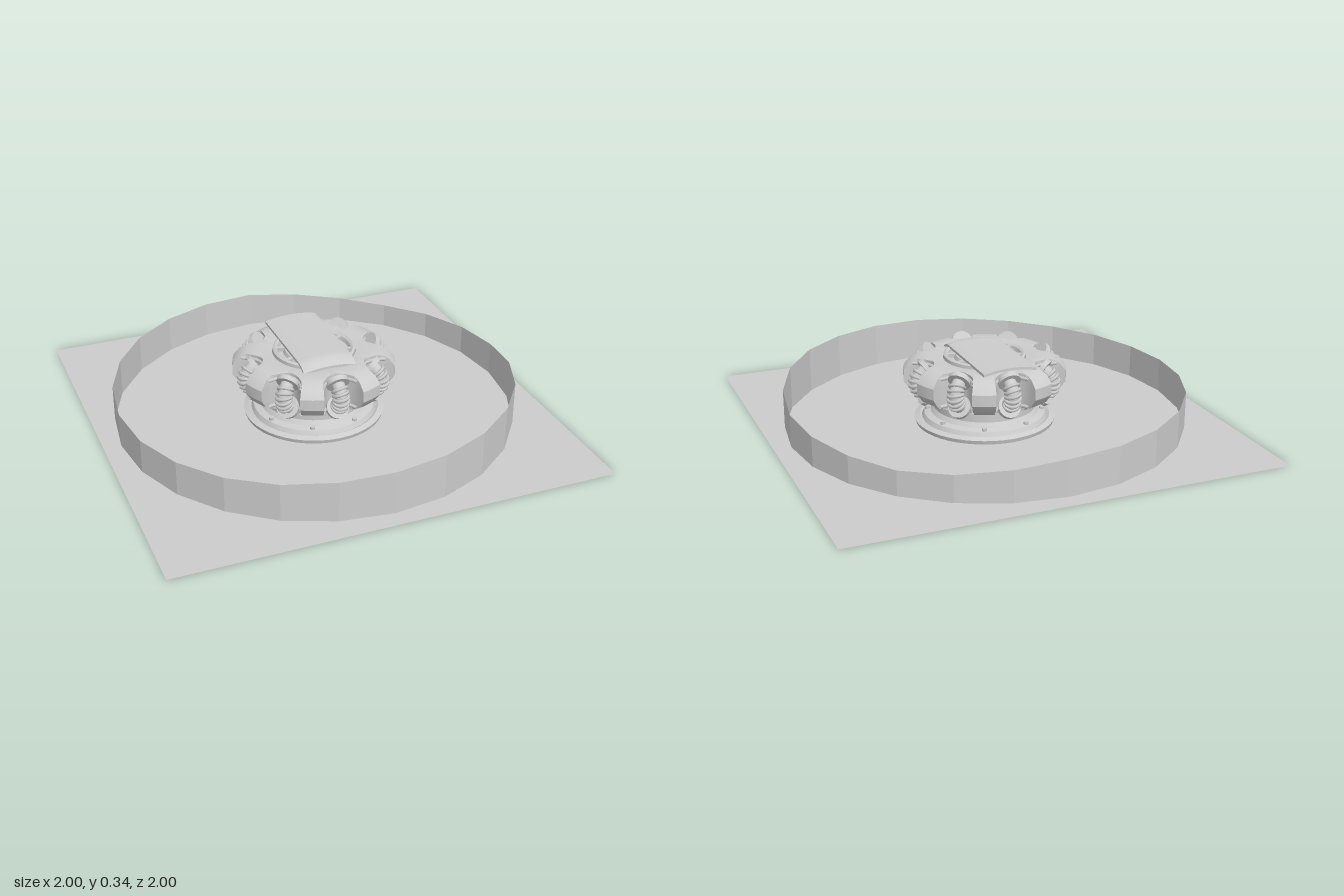
import * as THREE from 'three';
import { toCreasedNormals } from 'three/addons/utils/BufferGeometryUtils.js';

const grey = new THREE.MeshStandardMaterial({ color: 0xcccccc, side: THREE.DoubleSide });
grey.name = 'grey';

const BAYS = 8;
const PITCH = (Math.PI * 2) / BAYS;
const BAY_HALF = 0.25; // half angle of one bay
const bayRadius = (phi) => 0.35 - 0.1 * Math.sqrt(Math.max(0, 1 - (phi / BAY_HALF) ** 2));

function part(parent, name, geometry) {
  const mesh = new THREE.Mesh(geometry, grey);
  mesh.name = name;
  parent.add(mesh);
  return mesh;
}

function lathe(points, segments = 48) {
  const geo = new THREE.LatheGeometry(points.map(([r, y]) => new THREE.Vector2(r, y)), segments);
  return toCreasedNormals(geo, 0.6);
}

// Open faceted wall with an undulating top edge
function wallGeometry() {
  const heights = [0.155, 0.18, 0.2, 0.21, 0.21, 0.207, 0.2, 0.188, 0.175, 0.165, 0.16, 0.157,
    0.16, 0.166, 0.171, 0.174, 0.174, 0.172, 0.168, 0.145, 0.124, 0.115, 0.127, 0.14];
  const geo = new THREE.CylinderGeometry(0.92, 0.92, 1, 24, 1, true);
  const p = geo.attributes.position;
  for (let i = 0; i < p.count; i++) {
    const step = Math.round(Math.atan2(p.getZ(i), p.getX(i)) / (Math.PI / 12));
    p.setY(i, p.getY(i) > 0 ? heights[(step + 24) % 24] : 0);
  }
  return toCreasedNormals(geo, 0.1);
}

// Chamfered ring whose outside is cut by eight rounded bays
function housingGeometry() {
  const profile = [[0.19, 0.303], [0.25, 0.31], [0.305, 0.307], [0.345, 0.288], [0.373, 0.252],
    [0.373, 0.2], [0.345, 0.16], [0.3, 0.133], [0.2, 0.13], [0.19, 0.303]];
  const columns = [];
  for (let b = 0; b < BAYS; b++) {
    for (let i = 0; i <= 16; i++) {
      const phi = -BAY_HALF * Math.cos((Math.PI * i) / 16);
      columns.push([b * PITCH + phi, bayRadius(phi)]);
    }
    for (let i = 0; i <= 4; i++) {
      columns.push([b * PITCH + BAY_HALF + (i / 4) * (PITCH - 2 * BAY_HALF), 1]);
    }
  }
  columns.push(columns[0]);
  const positions = [];
  const index = [];
  const m = profile.length;
  columns.forEach(([angle, limit], i) => {
    profile.forEach(([r0, y], j) => {
      const r = Math.min(r0, limit);
      positions.push(r * Math.cos(angle), y, r * Math.sin(angle));
      if (i < columns.length - 1 && j < m - 1) {
        const a = i * m + j;
        const b = a + m;
        index.push(a, b, a + 1, b, b + 1, a + 1);
      }
    });
  });
  const geo = new THREE.BufferGeometry();
  geo.setAttribute('position', new THREE.Float32BufferAttribute(positions, 3));
  geo.setIndex(index);
  return toCreasedNormals(geo, 0.6);
}

// Bowed spring strut with end caps and bay lips, built along +x
function strut() {
  const group = new THREE.Group();
  group.name = 'springStrut';
  const bow = new THREE.QuadraticBezierCurve3(
    new THREE.Vector3(0.275, 0.285, 0), new THREE.Vector3(0.385, 0.22, 0), new THREE.Vector3(0.275, 0.15, 0));
  part(group, 'springCore', new THREE.TubeGeometry(bow, 16, 0.03, 12));
  const place = (mesh, t, tilt = 0) => {
    mesh.position.copy(bow.getPoint(t));
    mesh.quaternion.setFromUnitVectors(new THREE.Vector3(0, 0, 1), bow.getTangent(t));
    mesh.rotateX(tilt);
  };
  for (let i = 0; i < 6; i++) {
    place(part(group, 'coil', new THREE.TorusGeometry(0.033, 0.008, 6, 20)), 0.2 + i * 0.12, 0.2);
  }
  for (const t of [0.04, 0.96]) {
    const cap = new THREE.CylinderGeometry(0.052, 0.052, 0.022, 20).rotateX(Math.PI / 2);
    place(part(group, 'springCap', cap), t);
  }
  for (const y of [0.285, 0.155]) {
    const rim = [];
    for (let i = 0; i <= 12; i++) {
      const phi = -BAY_HALF * 0.98 * Math.cos((Math.PI * i) / 12);
      const r = bayRadius(phi);
      rim.push(new THREE.Vector3(r * Math.cos(phi), y, r * Math.sin(phi)));
    }
    part(group, 'bayLip', new THREE.TubeGeometry(new THREE.CatmullRomCurve3(rim), 24, 0.009, 6));
  }
  return group;
}

// Thin arched plate, rolled down at its front end
function coverGeometry() {
  const geo = new THREE.BoxGeometry(0.25, 0.012, 0.5, 12, 1, 30);
  const p = geo.attributes.position;
  for (let i = 0; i < p.count; i++) {
    const x = p.getX(i);
    const z = p.getZ(i) - 0.05;
    const roll = Math.max(0, (z - 0.13) / 0.07);
    p.setXYZ(i, x, p.getY(i) + 0.339 - 0.015 * (Math.abs(x) / 0.125) ** 2.2 - 0.024 * roll * roll, z);
  }
  return toCreasedNormals(geo, 0.6);
}

export function createModel() {
  const model = new THREE.Group();
  model.name = 'model';

  part(model, 'ground', new THREE.PlaneGeometry(2, 2).rotateX(-Math.PI / 2));
  part(model, 'wall', wallGeometry());

  // Stepped foot and neck
  part(model, 'foot', lathe([[0.32, 0], [0.325, 0.018], [0.3, 0.028], [0.29, 0.022], [0.28, 0.042],
    [0.25, 0.05], [0.235, 0.07], [0.235, 0.14]]));
  for (let i = 0; i < BAYS; i++) {
    const a = (i + 0.5) * PITCH;
    const bolt = part(model, 'footBolt', new THREE.CylinderGeometry(0.012, 0.012, 0.014, 8));
    bolt.position.set(0.265 * Math.cos(a), 0.05, 0.265 * Math.sin(a));
  }

  // Housing with a spring strut in each bay
  part(model, 'housing', housingGeometry());
  for (let i = 0; i < BAYS; i++) {
    const s = strut();
    s.rotation.y = i * PITCH;
    model.add(s);
  }

  // Hub with a raised rim and ribs
  part(model, 'hub', lathe([[0.19, 0.29], [0.188, 0.318], [0.178, 0.323], [0.168, 0.316], [0.162, 0.298],
    [0.14, 0.298], [0.132, 0.315], [0.09, 0.322], [0, 0.324]]));
  for (let i = 0; i < BAYS; i++) {
    const a = (i + 0.5) * PITCH;
    const rib = part(model, 'hubRib', new THREE.BoxGeometry(0.05, 0.02, 0.018));
    rib.position.set(0.15 * Math.cos(a), 0.306, 0.15 * Math.sin(a));
    rib.rotation.y = -a;
  }

  part(model, 'coverPlate', coverGeometry());
  return model;
}
